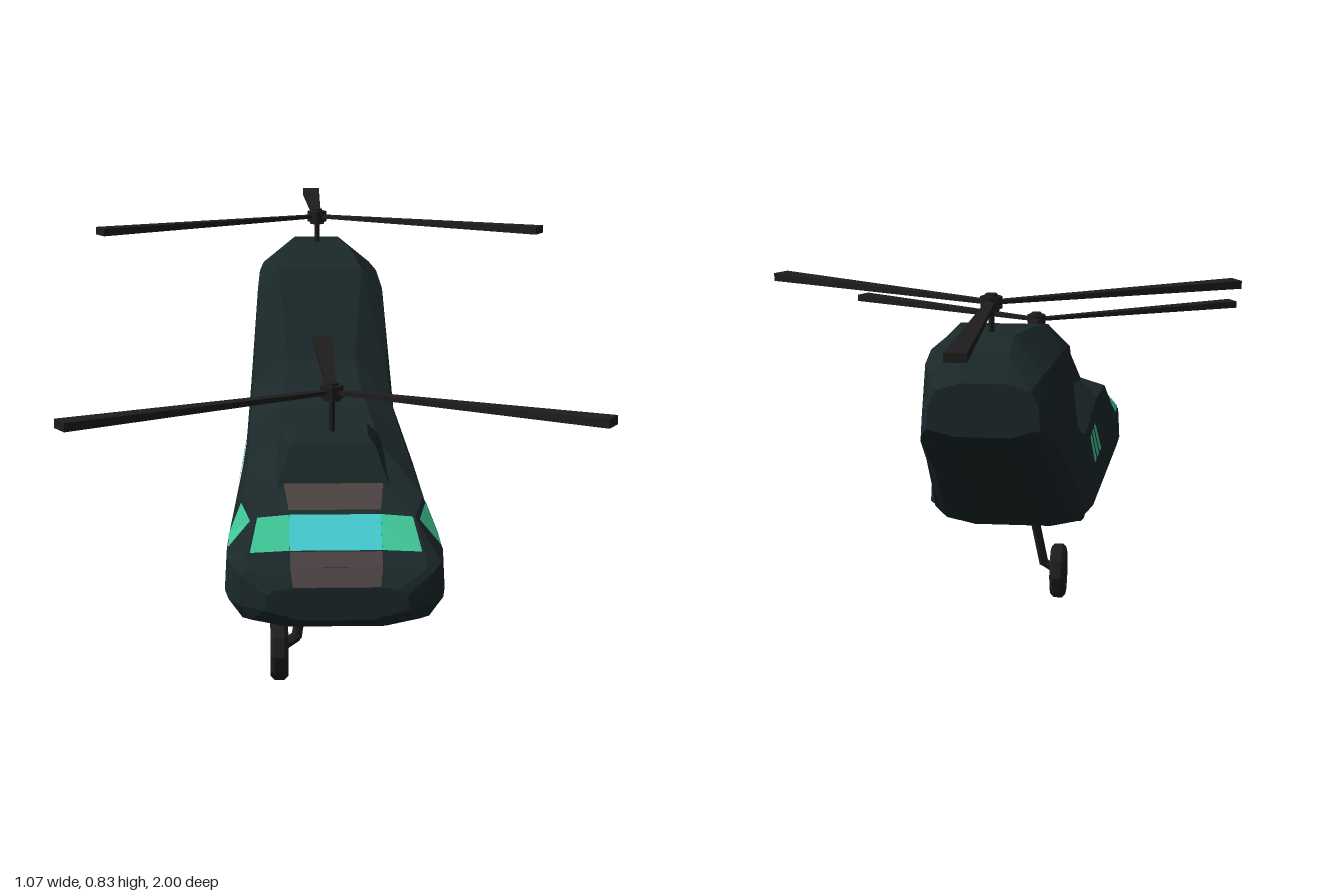
import * as THREE from 'three';
import { ConvexGeometry } from 'three/addons/geometries/ConvexGeometry.js';

const mat = (color) => new THREE.MeshStandardMaterial({ color, flatShading: true });
const hullMat = mat(0x1b282a), blackMat = mat(0x1e1c1c), brownMat = mat(0x4a4141);
const greenMat = mat(0x40c898), blueMat = mat(0x45cdd2);

// Hull stations: z, bottom y, lower side y, upper side y, half width, shoulder x, y, roof x, y
const STATIONS = [
  [0.97, 0.19, 0.21, 0.24, 0.14, 0.12, 0.25, 0.085, 0.255],
  [0.945, 0.17, 0.215, 0.275, 0.19, 0.175, 0.283, 0.09, 0.288],
  [0.92, 0.167, 0.22, 0.29, 0.21, 0.175, 0.308, 0.09, 0.312],
  [0.86, 0.167, 0.22, 0.30, 0.218, 0.158, 0.367, 0.09, 0.373],
  [0.77, 0.167, 0.22, 0.30, 0.216, 0.18, 0.385, 0.1, 0.41],
  [0.55, 0.178, 0.22, 0.30, 0.207, 0.172, 0.40, 0.11, 0.44],
  [0.14, 0.183, 0.22, 0.30, 0.19, 0.17, 0.40, 0.1, 0.44],
  [0.06, 0.187, 0.23, 0.32, 0.184, 0.165, 0.42, 0.09, 0.465],
  [-0.01, 0.212, 0.25, 0.35, 0.18, 0.16, 0.46, 0.08, 0.52],
  [-0.13, 0.287, 0.33, 0.45, 0.17, 0.15, 0.67, 0.1, 0.72],
  [-0.3, 0.393, 0.44, 0.52, 0.158, 0.145, 0.69, 0.08, 0.745],
  [-0.46, 0.493, 0.52, 0.57, 0.147, 0.135, 0.69, 0.055, 0.755],
  [-0.51, 0.525, 0.55, 0.60, 0.135, 0.12, 0.68, 0.05, 0.725],
  [-0.555, 0.555, 0.57, 0.62, 0.12, 0.10, 0.655, 0.05, 0.67],
];

// Twelve-sided ring; the left side stays wide until the tail begins
const rings = STATIONS.map(([z, yb, y1, y2, w, ux, uy, tx, ty]) => {
  const half = (s) => {
    const h = s > 0 && z > 0.1 && z < 0.9 ? Math.max(w, 0.212) : w;
    return [[0.5 * h, yb], [0.87 * h, yb + 0.015], [h, y1], [h * 0.98, y2], [ux, uy], [tx, ty]]
      .map(([x, y]) => new THREE.Vector3(s * x, y, z));
  };
  return [...half(1), ...half(-1).reverse()];
});

function meshFrom(name, pts, material) {
  const g = new THREE.BufferGeometry().setFromPoints(pts);
  g.computeVertexNormals();
  const m = new THREE.Mesh(g, material);
  m.name = name;
  return m;
}

function hull() {
  const out = [];
  for (let i = 0; i < rings.length - 1; i++) {
    for (let j = 0; j < 12; j++) {
      const k = (j + 1) % 12;
      const [a, b, c, d] = [rings[i][j], rings[i][k], rings[i + 1][k], rings[i + 1][j]];
      out.push(a, d, c, a, c, b);
    }
  }
  const first = rings[0], last = rings[rings.length - 1];
  for (let j = 1; j < 11; j++) {
    out.push(first[0], first[j], first[j + 1], last[0], last[j + 1], last[j]);
  }
  return meshFrom('fuselage', out, hullMat);
}

// Thin panel laid on hull facet (i, j); s runs around the ring, t runs aft
function panel(name, i, j, material, s0 = 0, s1 = 1, t0 = 0, t1 = 1) {
  const k = (j + 1) % 12;
  const at = (s, t) => rings[i][j].clone().lerp(rings[i][k], s)
    .lerp(rings[i + 1][j].clone().lerp(rings[i + 1][k], s), t);
  const [a, b, c, d] = [at(s0, t0), at(s1, t0), at(s1, t1), at(s0, t1)];
  const n = c.clone().sub(a).cross(b.clone().sub(d)).normalize().multiplyScalar(0.003);
  [a, b, c, d].forEach((p) => p.add(n));
  return meshFrom(name, [a, d, c, a, c, b], material);
}

// Bar between two points
function rod(name, a, b, r) {
  const p = new THREE.Vector3(...a), q = new THREE.Vector3(...b);
  const m = new THREE.Mesh(new THREE.CylinderGeometry(r, r, p.distanceTo(q), 6), blackMat);
  m.position.copy(p).lerp(q, 0.5);
  m.quaternion.setFromUnitVectors(new THREE.Vector3(0, 1, 0), q.sub(p).normalize());
  m.name = name;
  return m;
}

function rotor(name, y, z, mastBottom) {
  const g = new THREE.Group();
  g.name = name;
  g.position.set(0, y, z);
  g.add(rod('mast', [0, mastBottom - y, 0], [0, 0, 0], 0.007));
  const hub = new THREE.Mesh(new THREE.CylinderGeometry(0.024, 0.024, 0.026, 8), blackMat);
  hub.name = 'hub';
  const cap = new THREE.Mesh(new THREE.CylinderGeometry(0.013, 0.018, 0.038, 8), blackMat);
  cap.name = 'hubCap';
  g.add(hub, cap);
  // Blades widen and thicken toward the tip
  for (let i = 0; i < 3; i++) {
    const geo = new THREE.BoxGeometry(1, 1, 0.595);
    geo.translate(0, 0, -0.3075);
    const p = geo.attributes.position;
    for (let v = 0; v < p.count; v++) {
      const tip = p.getZ(v) < -0.3;
      p.setX(v, p.getX(v) * (tip ? 0.045 : 0.02));
      p.setY(v, p.getY(v) * (tip ? 0.018 : 0.008));
    }
    const blade = new THREE.Mesh(geo, blackMat);
    blade.name = 'blade';
    blade.rotation.y = (i * Math.PI * 2) / 3;
    g.add(blade);
  }
  return g;
}

function landingGear(name, z) {
  const g = new THREE.Group();
  g.name = name;
  g.position.z = z;
  g.add(rod('strut', [-0.055, 0.2, -0.03], [-0.075, 0.085, -0.005], 0.011));
  g.add(rod('axle', [-0.073, 0.09, -0.005], [-0.11, 0.066, 0], 0.011));
  // Tyre profile turned about the axle
  const profile = [[0.02, -0.012], [0.042, -0.012], [0.048, -0.018], [0.058, -0.018], [0.066, -0.01],
    [0.066, 0.01], [0.058, 0.018], [0.048, 0.018], [0.042, 0.012], [0.02, 0.012]]
    .map(([x, y]) => new THREE.Vector2(x, y));
  const tyre = new THREE.Mesh(new THREE.LatheGeometry(profile, 10), blackMat);
  tyre.name = 'tyre';
  const hub = new THREE.Mesh(new THREE.CylinderGeometry(0.024, 0.024, 0.032, 8), blackMat);
  hub.name = 'wheelHub';
  for (const m of [tyre, hub]) {
    m.rotation.z = Math.PI / 2;
    m.position.set(-0.11, 0.067, 0);
    g.add(m);
  }
  return g;
}

export function createModel() {
  const model = new THREE.Group();
  model.name = 'helicopter';
  model.add(hull());

  // Forward rotor pylon
  const pts = [];
  for (const s of [-1, 1]) {
    for (const [x, y, z] of [[0.125, 0.4, 0.53], [0.115, 0.4, 0.775], [0.1, 0.47, 0.565],
      [0.085, 0.485, 0.74], [0.075, 0.5, 0.605], [0.072, 0.5, 0.725]]) {
      pts.push(new THREE.Vector3(s * x, y, z));
    }
  }
  const pylon = new THREE.Mesh(new ConvexGeometry(pts), hullMat);
  pylon.name = 'forwardPylon';
  model.add(pylon);

  // Windshield, cockpit side windows and cabin windows
  model.add(panel('windshieldCentre', 2, 5, blueMat, 0, 1, 0.03, 0.97));
  model.add(panel('windshieldLeft', 2, 4, greenMat, 0.08, 1, 0.03, 0.97));
  model.add(panel('windshieldRight', 2, 6, greenMat, 0, 0.92, 0.03, 0.97));
  model.add(panel('sideWindowLeft', 3, 3, greenMat, 0.1, 0.88, 0, 0.95));
  model.add(panel('sideWindowRight', 3, 7, greenMat, 0.12, 0.9, 0, 0.95));
  for (let n = 0; n < 3; n++) {
    model.add(panel('cabinWindow', 5, 7, greenMat, 0.25, 0.9, 0.46 + n * 0.14, 0.56 + n * 0.14));
  }

  // Bare panels on nose, cockpit roof and belly
  for (const i of [0, 1]) model.add(panel('nosePanel', i, 5, brownMat));
  model.add(panel('cockpitRoofPanel', 3, 5, brownMat, 0, 1, 0.1, 1));
  for (const i of [2, 3, 4]) model.add(panel('bellyPanel', i, 11, brownMat, 0, 1, 0, i === 4 ? 0.5 : 1));

  model.add(rotor('frontRotor', 0.582, 0.68, 0.49));
  model.add(rotor('rearRotor', 0.815, -0.395, 0.74));
  model.add(landingGear('frontWheel', 0.765));
  model.add(landingGear('rearWheel', 0.085));
  return model;
}
